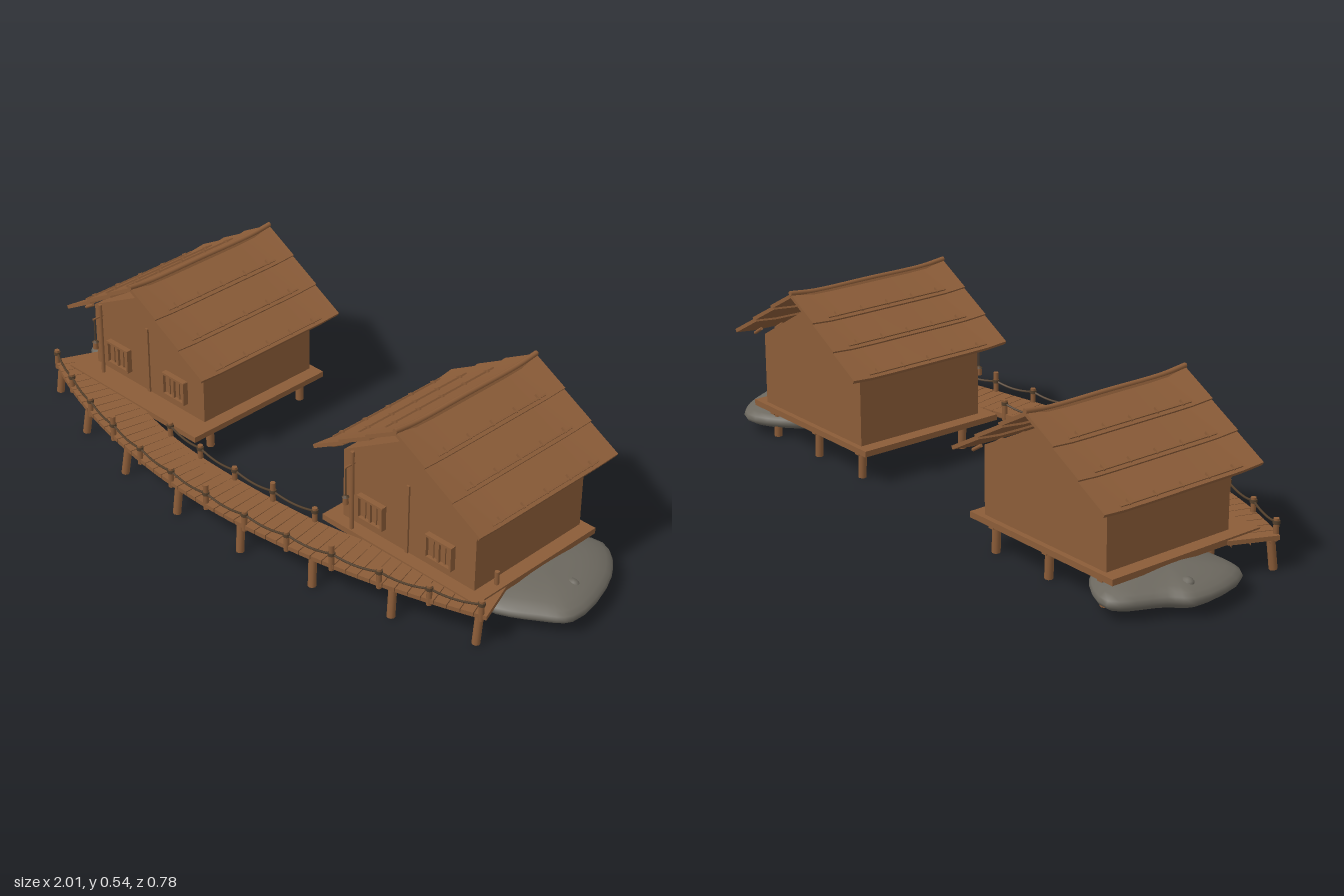
import * as THREE from 'three';
import { mergeVertices } from 'three/addons/utils/BufferGeometryUtils.js';

const mat = (name, color) => Object.assign(new THREE.MeshStandardMaterial({ color }), { name });
const wood = mat('wood', 0x8b5c38);
const rope = mat('rope', 0x54402c);
const stone = mat('stone', 0x6c685f);
const V = (x, y, z) => new THREE.Vector3(x, y, z);

function add(parent, name, geo, material, x = 0, y = 0, z = 0) {
  const m = new THREE.Mesh(geo, material);
  m.name = name;
  m.position.set(x, y, z);
  parent.add(m);
  return m;
}
const box = (parent, name, w, h, d, x, y, z, material = wood) =>
  add(parent, name, new THREE.BoxGeometry(w, h, d), material, x, y, z);

// round timber between two points
function pole(parent, name, a, b, r, material = wood) {
  const geo = new THREE.CylinderGeometry(r, r, a.distanceTo(b), 8);
  const m = add(parent, name, geo, material);
  m.position.copy(a).lerp(b, 0.5);
  m.quaternion.setFromUnitVectors(V(0, 1, 0), b.clone().sub(a).normalize());
  return m;
}

// centre line of the curved walkway and points offset to its side
const path = new THREE.QuadraticBezierCurve3(V(-0.895, 0, 0.125), V(-0.1, 0, 0.487), V(0.85, 0, 0.13));
function side(t, offset, y) {
  const p = path.getPointAt(t), d = path.getTangentAt(t);
  return V(p.x - d.z * offset, y, p.z + d.x * offset);
}

function walkway(root) {
  const g = new THREE.Group();
  g.name = 'walkway';
  root.add(g);
  const n = 48, step = path.getLength() / n;
  for (let i = 0; i < n; i++) {
    const t = (i + 0.5) / n, d = path.getTangentAt(t), p = path.getPointAt(t);
    const wobble = Math.sin(i * 12.9) * 0.003;
    const m = box(g, 'plank', step * 0.95, 0.013, 0.146 + wobble, p.x, 0.104 + wobble * 0.4, p.z);
    m.rotation.y = Math.atan2(-d.z, d.x) + wobble;
  }
  // stringers under the planks
  for (const o of [-0.055, 0, 0.055]) {
    const pts = Array.from({ length: 17 }, (_, i) => side(0.004 + i * 0.062, o, 0.091));
    add(g, 'stringer', new THREE.TubeGeometry(new THREE.CatmullRomCurve3(pts), 48, 0.007, 6), wood);
  }
  // leaning legs along the outer edge
  for (let i = 0; i < 8; i++) {
    const t = 0.012 + i * 0.139, lean = Math.sin(i * 5.3) * 0.006;
    const foot = side(t, 0.066, 0.006);
    foot.x += lean;
    pole(g, 'walkwayLeg', foot, side(t, 0.055, 0.098), 0.012);
  }
  railing(g, 0.068, 0.01, 0.99, 13);
  railing(g, -0.068, 0.31, 0.66, 5);
  pole(g, 'endPost', side(0.985, -0.064, 0.1), side(0.985, -0.064, 0.157), 0.007);
}

// posts with sagging ropes
function railing(parent, offset, t0, t1, count) {
  let last = null;
  for (let i = 0; i < count; i++) {
    const t = t0 + (t1 - t0) * i / (count - 1);
    const top = i % 3 === 0 && i > 0 && i < count - 1 ? 0.172 : 0.154;
    pole(parent, 'railPost', side(t, offset, 0.09), side(t, offset, top), 0.008);
    add(parent, 'ropeKnot', new THREE.CylinderGeometry(0.0105, 0.0105, 0.01, 8), rope).position.copy(side(t, offset, 0.143));
    const here = side(t, offset, 0.143);
    if (last) {
      const mid = side(t - (t1 - t0) / (count - 1) / 2, offset, 0.123);
      const sag = new THREE.QuadraticBezierCurve3(last, mid, here);
      add(parent, 'railRope', new THREE.TubeGeometry(sag, 10, 0.0035, 5), rope);
    }
    last = here;
  }
}

// one roof layer whose gable ends sweep up slightly
function layerGeometry(len) {
  const geo = new THREE.BoxGeometry(len, 0.011, 0.56, 1, 1, 8);
  const p = geo.attributes.position;
  for (let i = 0; i < p.count; i++) p.setY(i, p.getY(i) + sweep(p.getZ(i)));
  geo.computeVertexNormals();
  return geo;
}
const sweep = z => 0.008 * Math.max(0, (Math.abs(z) - 0.2) / 0.08);

function roof(parent, y) {
  const g = new THREE.Group();
  g.name = 'roof';
  g.position.set(0, y, -0.075);
  parent.add(g);
  const angle = Math.atan2(0.185, 0.295), run = 0.348 / 3;
  for (const s of [1, -1]) {
    const slope = new THREE.Group();
    slope.name = 'roofSlope';
    slope.rotation.y = s > 0 ? 0 : Math.PI;
    g.add(slope);
    const tilt = new THREE.Group();
    tilt.rotation.z = -angle;
    slope.add(tilt);
    for (let i = 0; i < 3; i++) {
      const m = add(tilt, 'thatchLayer', layerGeometry(run + 0.012), wood, run * (i + 0.5), -0.003, 0);
      m.rotation.z = 0.05;
      // battens and pegs holding the lower edge
      box(tilt, 'batten', 0.006, 0.005, 0.43, run * (i + 1) - 0.008, 0.008, 0);
      for (let k = -2; k <= 2; k++) box(tilt, 'peg', 0.018, 0.008, 0.005, run * (i + 1) - 0.012, 0.009, k * 0.092);
    }
    for (let k = -3; k <= 3; k++) pole(tilt, 'rafterEnd', V(0.3, -0.014, k * 0.075), V(0.342, -0.014, k * 0.075), 0.005);
  }
  // ridge pole
  const pts = [-0.28, -0.2, 0, 0.2, 0.28].map(z => V(0, 0.002 + sweep(z), z));
  const ridge = new THREE.CatmullRomCurve3(pts);
  add(g, 'ridgePole', new THREE.TubeGeometry(ridge, 20, 0.008, 8), wood);
  for (const e of [0, 4]) {
    const cap = add(g, 'ridgeCap', new THREE.CylinderGeometry(0.008, 0.008, 0.004, 8), wood);
    cap.position.copy(pts[e]);
    cap.rotation.x = Math.PI / 2;
  }
}

function windowUnit(parent, x, z) {
  const g = new THREE.Group();
  g.name = 'window';
  g.position.set(x, 0.186, z);
  parent.add(g);
  for (const s of [-1, 1]) {
    box(g, 'shutter', 0.041, 0.06, 0.008, s * 0.021, 0, 0.004);
    box(g, 'frameSide', 0.007, 0.076, 0.018, s * 0.045, 0, 0.009);
    box(g, 'frameRail', 0.096, 0.007, 0.018, 0, s * 0.035, 0.009);
    box(g, 'shutterBar', 0.004, 0.06, 0.012, s * 0.021, 0, 0.006);
  }
  box(g, 'mullion', 0.006, 0.064, 0.016, 0, 0, 0.008);
}

function house(root, name, x, z, wallTop, apex, ridge, deckFront) {
  const g = new THREE.Group();
  g.name = name;
  g.position.set(x, 0, z);
  root.add(g);
  // gabled body
  const s = new THREE.Shape();
  [[-0.245, 0.11], [0.245, 0.11], [0.245, wallTop], [0, apex], [-0.245, wallTop]]
    .forEach(([a, b], i) => (i ? s.lineTo(a, b) : s.moveTo(a, b)));
  add(g, 'walls', new THREE.ExtrudeGeometry(s, { depth: 0.435, bevelEnabled: false }), wood, 0, 0, -0.29);
  roof(g, ridge);
  // platform, beams and legs
  const back = -0.307;
  box(g, 'platform', 0.575, 0.018, deckFront - back, 0, 0.107, (deckFront + back) / 2);
  for (const lx of [-0.22, 0, 0.22]) {
    box(g, 'floorBeam', 0.018, 0.016, 0.42, lx, 0.09, -0.08);
    for (const lz of [0.105, -0.268]) pole(g, 'houseLeg', V(lx + 0.004, 0.006, lz), V(lx, 0.1, lz), 0.0125);
  }
  // front: centre timber, windows, veranda post and lantern
  box(g, 'centreTimber', 0.01, 0.22, 0.008, 0, 0.225, 0.147);
  windowUnit(g, -0.13, 0.145);
  windowUnit(g, 0.125, 0.145);
  pole(g, 'verandaPost', V(-0.183, 0.11, 0.175), V(-0.183, wallTop + 0.035, 0.175), 0.006);
  pole(g, 'lanternArm', V(-0.183, wallTop - 0.005, 0.165), V(-0.183, wallTop - 0.005, 0.205), 0.003);
  pole(g, 'lanternRope', V(-0.183, 0.235, 0.2), V(-0.183, wallTop - 0.005, 0.2), 0.002, rope);
  add(g, 'lantern', new THREE.CylinderGeometry(0.008, 0.009, 0.022, 8), wood, -0.183, 0.222, 0.2);
  add(g, 'lanternCap', new THREE.CylinderGeometry(0.004, 0.011, 0.006, 8), rope, -0.183, 0.236, 0.2);
}

// flattened boulder following a plan outline
function boulder(root, name, outline) {
  const curve = new THREE.CatmullRomCurve3(outline.map(([a, b]) => V(a, 0, b)), true);
  const c = outline.reduce((q, [a, b]) => q.add(V(a / outline.length, 0, b / outline.length)), V(0, 0, 0));
  let geo = new THREE.SphereGeometry(1, 32, 14);
  const p = geo.attributes.position, uv = geo.attributes.uv;
  for (let i = 0; i < p.count; i++) {
    const y = p.getY(i), r = Math.sqrt(Math.max(0, 1 - y * y));
    const e = curve.getPoint((uv.getX(i) + 1) % 1).lerp(c, 1 - r);
    const lump = 1 + 0.07 * r * Math.sin(e.x * 31) * Math.cos(e.z * 27);
    p.setXYZ(i, e.x, 0.056 + y * 0.048 * lump, e.z);
  }
  geo.deleteAttribute('uv');
  geo.deleteAttribute('normal');
  geo = mergeVertices(geo, 1e-5);
  geo.computeVertexNormals();
  add(root, name, geo, stone);
  // small knob on the outer shoulder
  const knob = add(root, name + 'Knob', new THREE.IcosahedronGeometry(0.02, 1), stone, c.x + Math.sign(c.x) * 0.1, 0.086, c.z - 0.015);
  knob.scale.set(1.1, 0.7, 0.8);
}

export function createModel() {
  const root = new THREE.Group();
  root.name = 'stiltHouses';
  house(root, 'rightHouse', 0.537, 0, 0.335, 0.48, 0.525, 0.185);
  house(root, 'leftHouse', -0.573, -0.04, 0.318, 0.445, 0.488, 0.222);
  walkway(root);
  boulder(root, 'rightBoulder', [[0.64, -0.1], [0.7, 0.07], [0.8, 0.12], [0.93, 0.055], [1, -0.01], [0.95, -0.23], [0.84, -0.33], [0.7, -0.25]]);
  boulder(root, 'leftBoulder', [[-1, -0.18], [-0.96, 0.02], [-0.85, 0.045], [-0.72, 0], [-0.66, -0.15], [-0.72, -0.3], [-0.87, -0.375], [-0.95, -0.24]]);
  return root;
}
